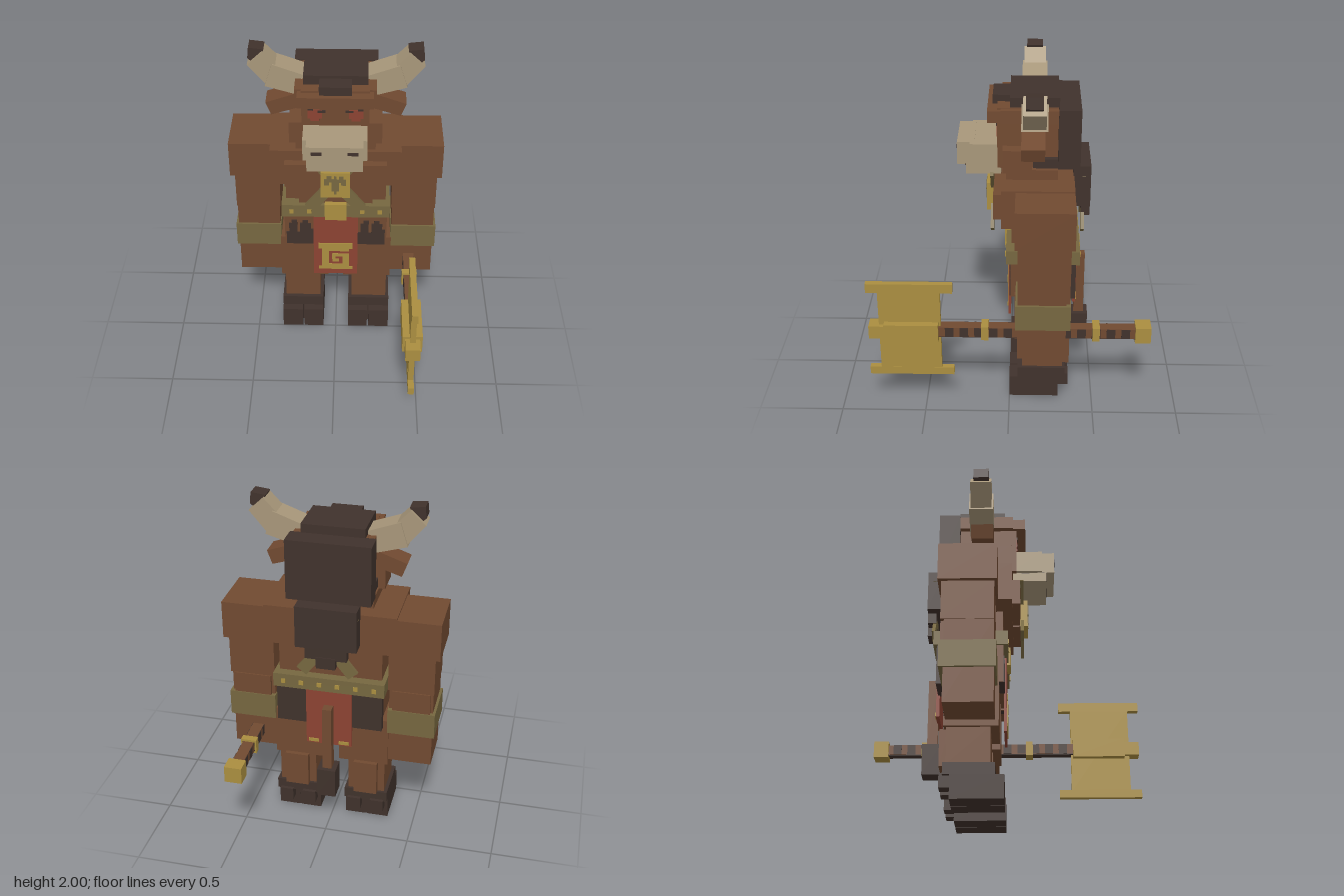
import * as THREE from 'three';

const mat = (name, color) => {
  const m = new THREE.MeshStandardMaterial({ color });
  m.name = name;
  return m;
};

export function createModel() {
  const fur = mat('brown fur', 0x714a31);
  const dark = mat('dark hair and hoof', 0x40322c);
  const tan = mat('tan horn', 0xa8977a);
  const gold = mat('gold', 0xaa8e40);
  const olive = mat('olive leather', 0x766740);
  const red = mat('red cloth', 0x8c4332);

  const model = new THREE.Group();
  model.name = 'hornedWarrior';
  const group = (name) => {
    const g = new THREE.Group();
    g.name = name;
    model.add(g);
    return g;
  };
  // Box given by its limits on each axis
  const box = (g, name, m, [x0, x1], [y0, y1], [z0, z1]) => {
    const mesh = new THREE.Mesh(new THREE.BoxGeometry(x1 - x0, y1 - y0, z1 - z0), m);
    mesh.position.set((x0 + x1) / 2, (y0 + y1) / 2, (z0 + z1) / 2);
    mesh.name = name;
    g.add(mesh);
    return mesh;
  };
  // The same box on both sides
  const pair = (g, name, m, [x0, x1], y, z) => {
    box(g, name + 'Left', m, [x0, x1], y, z);
    box(g, name + 'Right', m, [-x1, -x0], y, z);
  };
  // Flat outline in x and y with depth in z, on both sides
  const slabPair = (g, name, m, pts, z0, z1) => {
    for (const s of [1, -1]) {
      const shape = new THREE.Shape(pts.map(([x, y]) => new THREE.Vector2(s * x, y)));
      const geo = new THREE.ExtrudeGeometry(shape, { depth: z1 - z0, bevelEnabled: false });
      const mesh = new THREE.Mesh(geo, m);
      mesh.position.z = z0;
      mesh.name = name + (s > 0 ? 'Left' : 'Right');
      g.add(mesh);
    }
  };
  // Rows of # cells become thin plates
  const pixels = (g, name, m, rows, x0, yTop, w, h, z) => rows.forEach((row, r) => {
    for (const run of row.matchAll(/#+/g)) {
      const x = x0 + run.index * w, y = yTop - r * h;
      box(g, name, m, [x, x + run[0].length * w], [y - h, y], z);
    }
  });

  // Legs and hooves
  const legs = group('legs');
  pair(legs, 'innerToe', dark, [0.08, 0.203], [0, 0.137], [-0.295, 0]);
  pair(legs, 'outerToe', dark, [0.213, 0.34], [0, 0.137], [-0.295, 0]);
  pair(legs, 'hoofCore', dark, [0.09, 0.33], [0.002, 0.137], [-0.294, -0.06]);
  pair(legs, 'hoofCuff', dark, [0.08, 0.34], [0.137, 0.205], [-0.335, -0.05]);
  pair(legs, 'innerHeel', dark, [0.1, 0.18], [0.07, 0.15], [-0.355, -0.29]);
  pair(legs, 'outerHeel', dark, [0.24, 0.32], [0.07, 0.15], [-0.355, -0.29]);
  pair(legs, 'shin', fur, [0.1, 0.32], [0.2, 0.42], [-0.32, -0.075]);
  pair(legs, 'calf', fur, [0.14, 0.28], [0.205, 0.42], [-0.36, -0.3]);
  pair(legs, 'thigh', fur, [0.045, 0.34], [0.415, 0.72], [-0.335, -0.03]);

  // Torso
  const torso = group('torso');
  box(torso, 'waist', fur, [-0.3, 0.3], [0.7, 1.18], [-0.35, -0.05]);
  box(torso, 'belly', fur, [-0.22, 0.22], [0.7, 1.18], [-0.1, -0.01]);
  box(torso, 'chest', fur, [-0.38, 0.38], [1.175, 1.41], [-0.365, 0.045]);
  pair(torso, 'pectoral', fur, [0.01, 0.295], [1.19, 1.345], [0.04, 0.092]);
  box(torso, 'neck', fur, [-0.23, 0.23], [1.4, 1.47], [-0.27, 0.02]);

  // Belt, hip guards and hanging cloth
  const belt = group('belt');
  box(belt, 'beltBand', olive, [-0.325, 0.325], [0.915, 1.0], [-0.405, 0.02]);
  box(belt, 'buckle', gold, [-0.065, 0.065], [0.9, 1.015], [0, 0.032]);
  for (let i = 0; i < 6; i++) {
    const x = -0.265 + i * 0.106;
    if (Math.abs(x) > 0.1) box(belt, 'frontStud', gold, [x - 0.013, x + 0.013], [0.943, 0.969], [0.019, 0.025]);
    box(belt, 'backStud', gold, [x - 0.013, x + 0.013], [0.943, 0.969], [-0.411, -0.404]);
  }
  pair(belt, 'hipGuard', fur, [0.12, 0.31], [0.69, 0.92], [-0.06, -0.006]);
  for (const x0 of [-0.3, 0.135]) {
    pixels(belt, 'hipFringe', dark, ['..##..##..', '.###.####.', '.###.####.', '.###.#####', '##########', '##########',
      '##########', '##########'], x0, 0.87, 0.0165, 0.0225, [-0.05, 0]);
  }
  pair(belt, 'backGuard', dark, [0.12, 0.31], [0.68, 0.92], [-0.385, -0.34]);
  box(belt, 'frontCloth', red, [-0.135, 0.135], [0.46, 0.915], [-0.005, 0.01]);
  box(belt, 'backCloth', red, [-0.135, 0.135], [0.55, 0.92], [-0.395, -0.375]);
  pair(belt, 'backClothTrim', gold, [0.06, 0.12], [0.56, 0.58], [-0.401, -0.394]);
  pixels(belt, 'clothSpiral', gold, ['##########', '##########', '.########.', '.##.......', '.##.#####.', '.##.#..##.',
    '.##.##.##.', '.##....##.', '.########.', '##########'], -0.105, 0.705, 0.021, 0.0205, [0.009, 0.015]);

  // Crossed straps front and back, with a medallion
  const harness = group('harness');
  for (const s of [1, -1]) {
    for (const [z, len] of [[0.102, 0.48], [-0.42, 0.48]]) {
      const strap = box(harness, 'strap', olive, [-0.035, 0.035], [1.24 - len / 2, 1.24 + len / 2], [z - 0.01, z + 0.01]);
      strap.rotation.z = s * 0.67;
    }
  }
  box(harness, 'medallion', gold, [-0.085, 0.085], [1.147, 1.32], [0.09, 0.135]);
  pixels(harness, 'medallionAxe', olive, ['.##.#.##.', '#########', '##.###.##', '...###...', '...###...', '....#....'],
    -0.063, 1.3, 0.014, 0.021, [0.134, 0.14]);

  // Arms
  const arms = group('arms');
  pair(arms, 'shoulder', fur, [0.36, 0.627], [1.175, 1.4], [-0.365, -0.035]);
  pair(arms, 'upperArm', fur, [0.335, 0.6], [0.94, 1.18], [-0.345, -0.05]);
  pair(arms, 'forearm', fur, [0.34, 0.595], [0.45, 0.94], [-0.325, -0.05]);
  pair(arms, 'elbow', fur, [0.36, 0.58], [0.8, 0.935], [-0.345, -0.06]);
  pair(arms, 'bracer', olive, [0.335, 0.61], [0.652, 0.808], [-0.35, -0.038]);

  // Head
  const head = group('head');
  box(head, 'skull', fur, [-0.19, 0.19], [1.465, 1.825], [-0.27, 0.07]);
  box(head, 'crown', fur, [-0.228, 0.228], [1.745, 1.822], [-0.27, 0.05]);
  box(head, 'brow', fur, [-0.212, 0.212], [1.745, 1.812], [0.04, 0.125]);
  pair(head, 'cheek', fur, [0.18, 0.265], [1.465, 1.6], [-0.125, 0.04]);
  pair(head, 'eye', red, [0.075, 0.155], [1.65, 1.705], [0.069, 0.075]);
  pair(head, 'eyeLower', red, [0.09, 0.14], [1.635, 1.65], [0.069, 0.075]);
  pair(head, 'eyelid', dark, [0.055, 0.1], [1.69, 1.703], [0.07, 0.078]);
  pair(head, 'eyelidOuter', dark, [0.125, 0.155], [1.703, 1.72], [0.07, 0.078]);
  box(head, 'muzzleBase', tan, [-0.18, 0.18], [1.47, 1.603], [0.05, 0.225]);
  box(head, 'muzzleTip', tan, [-0.157, 0.157], [1.47, 1.605], [0.2, 0.298]);
  box(head, 'chin', tan, [-0.157, 0.157], [1.413, 1.472], [0.05, 0.25]);
  box(head, 'mouth', dark, [-0.157, 0.157], [1.466, 1.474], [0.1, 0.254]);
  pair(head, 'nostril', dark, [0.07, 0.13], [1.556, 1.575], [0.297, 0.303]);
  slabPair(head, 'ear', fur, [[0.17, 1.648], [0.23, 1.725], [0.4, 1.665], [0.37, 1.585]], -0.195, -0.065);
  slabPair(head, 'hornBase', tan, [[0.17, 1.842], [0.357, 1.91], [0.4, 1.772], [0.17, 1.705]], -0.21, -0.065);
  slabPair(head, 'hornTop', tan, [[0.32, 1.885], [0.41, 1.98], [0.495, 1.9], [0.395, 1.78]], -0.2, -0.075);
  slabPair(head, 'hornTip', dark, [[0.4, 1.99], [0.485, 2.0], [0.492, 1.935], [0.47, 1.915], [0.41, 1.965]], -0.182, -0.09);

  // Hair
  const hair = group('hair');
  box(hair, 'hairTop', dark, [-0.18, 0.18], [1.82, 1.88], [-0.275, 0]);
  box(hair, 'forelock', dark, [-0.09, 0.09], [1.81, 1.863], [0, 0.097]);
  box(hair, 'backHair', dark, [-0.24, 0.24], [1.48, 1.83], [-0.395, -0.27]);
  box(hair, 'napeHair', dark, [-0.225, 0.225], [1.48, 1.535], [-0.3, -0.13]);
  box(hair, 'mane', dark, [-0.175, 0.175], [1.22, 1.47], [-0.46, -0.36]);
  box(hair, 'maneLock', dark, [-0.12, 0.12], [1.155, 1.23], [-0.46, -0.41]);
  box(hair, 'maneTip', dark, [-0.055, 0.055], [1.1, 1.17], [-0.465, -0.42]);

  // Tail
  const tail = group('tail');
  box(tail, 'tailStem', fur, [-0.027, 0.027], [0.41, 0.82], [-0.45, -0.39]);
  box(tail, 'tailTuft', dark, [-0.055, 0.055], [0.232, 0.415], [-0.475, -0.365]);

  // Two-edged axe held at the left side
  const axe = group('axe');
  box(axe, 'shaft', fur, [0.42, 0.485], [0.52, 0.582], [-0.74, 0.42]);
  for (let z = -0.7; z < 0.38; z += 0.085) {
    for (const x of [0.417, 0.481]) box(axe, 'shaftWrap', dark, [x, x + 0.007], [0.521, 0.581], [z, z + 0.05]);
  }
  box(axe, 'shaftUnderside', dark, [0.422, 0.483], [0.516, 0.522], [-0.73, 0.41]);
  for (const z of [0.118, -0.525]) box(axe, 'ring', gold, [0.407, 0.498], [0.507, 0.595], [z, z + 0.042]);
  box(axe, 'pommel', gold, [0.402, 0.503], [0.5, 0.6], [-0.82, -0.73]);
  box(axe, 'blade', gold, [0.436, 0.469], [0.28, 0.81], [0.395, 0.753]);
  box(axe, 'upperEdge', gold, [0.435, 0.47], [0.803, 0.86], [0.323, 0.82]);
  box(axe, 'lowerEdge', gold, [0.435, 0.47], [0.243, 0.292], [0.323, 0.82]);
  box(axe, 'bladeHub', gold, [0.395, 0.51], [0.492, 0.608], [0.408, 0.722]);
  box(axe, 'frontKnob', gold, [0.41, 0.495], [0.508, 0.59], [0.722, 0.812]);

  return model;
}
